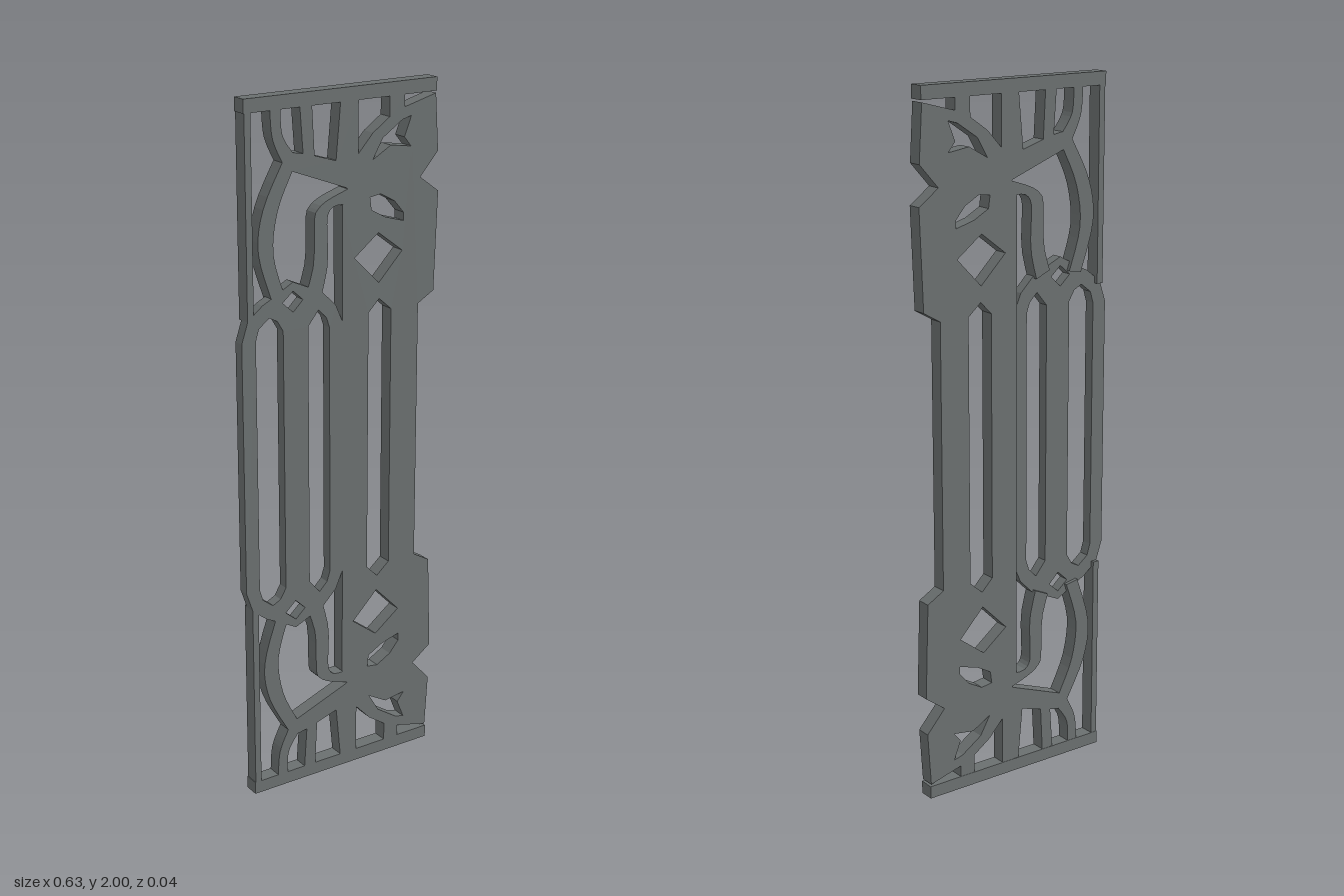
import * as THREE from 'three';

const material = new THREE.MeshStandardMaterial({ color: 0x6a6f6f });
const FRONT = 0.021, BACK = -0.022, LOOP_BACK = -0.011;

// Reflect a point list across the mid-height line y = 1
const flip = (pts) => pts.map(([x, y]) => [x, 2 - y]);
// Close an upper half-profile with its own reflection
const full = (pts) => [...pts, ...flip(pts).reverse()];
const vec = (pts) => pts.map(([x, y]) => new THREE.Vector2(x, y));
// Round a run of points into a smooth edge
const smooth = (pts) => new THREE.SplineCurve(vec(pts)).getPoints(12).map((p) => [p.x, p.y]);
// Strip between two smooth edges, both listed bottom to top
const ribbon = (a, b) => [...smooth(a), ...smooth(b).reverse()];
const rect = (x0, x1, y0, y1) => [[x0, y0], [x1, y0], [x1, y1], [x0, y1]];
// Counter-clockwise outlines and clockwise holes keep every wall facing outward
const wind = (pts, clockwise) => {
  const v = vec(pts);
  return THREE.ShapeUtils.isClockWise(v) === clockwise ? v : v.reverse();
};

export function createModel() {
  const group = new THREE.Group();

  // Flat cut plate with optional holes
  function plate(name, outline, holes = [], back = BACK) {
    const shape = new THREE.Shape(wind(outline, false));
    shape.holes = holes.map((h) => new THREE.Path(wind(h, true)));
    const geo = new THREE.ExtrudeGeometry(shape, { depth: FRONT - back, bevelEnabled: false });
    geo.translate(0, 0, back);
    const mesh = new THREE.Mesh(geo, material);
    mesh.name = name;
    group.add(mesh);
  }
  // Same plate at the top and mirrored at the bottom
  function pair(name, outline, back) {
    plate(name + 'Top', outline, [], back);
    plate(name + 'Bottom', flip(outline), [], back);
  }

  // Outer frame, with the stile stopping at the loops
  pair('rail', rect(-0.298, 0.305, 1.963, 2), -0.023);
  pair('leftStile', rect(-0.296, -0.277, 1.415, 1.98));

  // Two linked long loops with diamond gaps at the crossings
  const diamond = [[-0.188, 1.452], [-0.155, 1.48], [-0.124, 1.452], [-0.155, 1.422]];
  plate('linkedLoops',
    full([[-0.315, 1.36], [-0.295, 1.42], [-0.25, 1.455], [-0.21, 1.475], [-0.155, 1.505],
      [-0.1, 1.48], [-0.06, 1.46], [-0.02, 1.42], [0.002, 1.37]]),
    [
      full([[-0.272, 1.36], [-0.262, 1.393], [-0.23, 1.418], [-0.205, 1.405], [-0.187, 1.375]]),
      full([[-0.108, 1.375], [-0.075, 1.415], [-0.05, 1.39], [-0.04, 1.36]]),
      diamond, flip(diamond),
    ], LOOP_BACK);

  // Pierced right panel ending in a leaf at each corner
  const piercings = [
    [[0.04, 1.54], [0.118, 1.6], [0.197, 1.54], [0.12, 1.46]],
    [[0.09, 1.7], [0.125, 1.705], [0.17, 1.68], [0.2, 1.645], [0.2, 1.622], [0.14, 1.64], [0.095, 1.665]],
    [[0.098, 1.8], [0.13, 1.855], [0.193, 1.897], [0.222, 1.905], [0.2, 1.85], [0.222, 1.823], [0.156, 1.833]],
  ];
  plate('piercedPanel',
    full([[0.253, 1.38], [0.305, 1.41], [0.315, 1.69], [0.254, 1.735], [0.312, 1.8], [0.302, 1.957],
      [0.2, 1.93], [0.15, 1.908], [0.098, 1.872], [0.05, 1.82], [0.01, 1.74], [0.03, 1.72], [0.002, 1.69]]),
    [full([[0.087, 1.38], [0.122, 1.415], [0.162, 1.38]]), ...piercings, ...piercings.map(flip)]);

  // Curved scroll rising from the loops
  pair('scroll', ribbon(
    [[-0.218, 1.455], [-0.26, 1.595], [-0.244, 1.71], [-0.183, 1.828]],
    [[-0.178, 1.463], [-0.214, 1.585], [-0.2, 1.7], [-0.154, 1.8]]));

  // Bent stem between the loops and the panel
  pair('stem', ribbon(
    [[-0.11, 1.475], [-0.089, 1.55], [-0.087, 1.66], [-0.075, 1.69], [-0.04, 1.712], [0.03, 1.735]],
    [[-0.065, 1.455], [-0.045, 1.54], [-0.047, 1.64], [-0.042, 1.675], [-0.02, 1.692], [0.03, 1.69]]));

  // Sloping crest joining the scroll to the leaf
  pair('crest', [[-0.183, 1.825], [-0.15, 1.848], [-0.12, 1.842], [-0.087, 1.833], [-0.02, 1.812],
    [0.05, 1.825], [0.06, 1.72], [0.02, 1.733], [-0.156, 1.8]]);

  // Short bars from the crest and leaf to the rail
  pair('curvedBar', ribbon(
    [[-0.183, 1.823], [-0.213, 1.89], [-0.22, 1.97]],
    [[-0.148, 1.843], [-0.183, 1.897], [-0.188, 1.97]]));
  pair('narrowBar', [[-0.12, 1.83], [-0.085, 1.82], [-0.093, 1.97], [-0.13, 1.97]]);
  pair('wideBar', [[-0.02, 1.8], [0.052, 1.81], [0.052, 1.97], [-0.004, 1.97]]);
  pair('leafBar', [[0.152, 1.9], [0.2, 1.92], [0.2, 1.97], [0.152, 1.97]]);

  return group;
}
